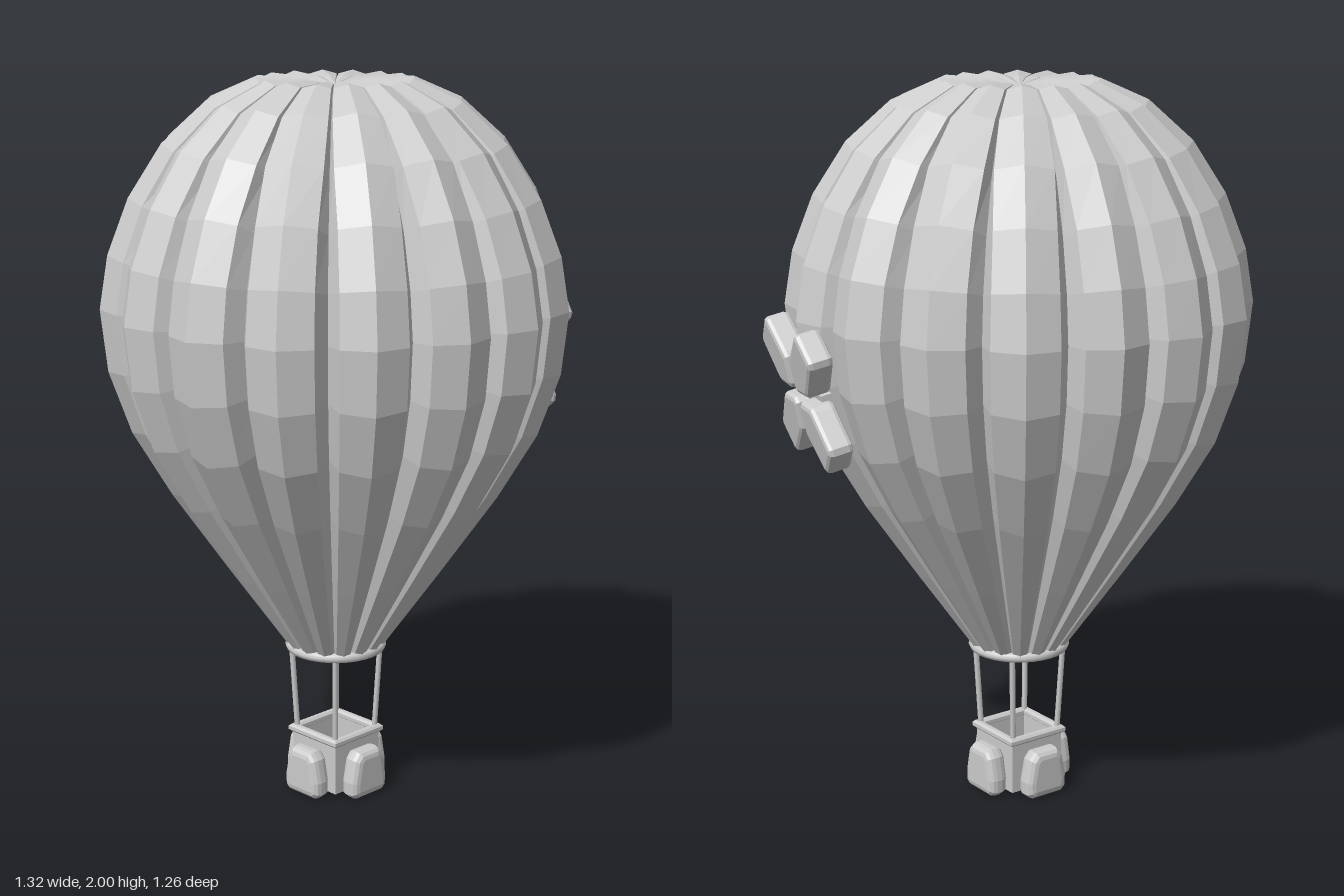
import * as THREE from 'three';

const AXIS = -0.026; // x of the balloon's own axis
const TURN = THREE.MathUtils.degToRad(31); // turn of the basket about y
const material = new THREE.MeshStandardMaterial({ color: 0xcccccc, flatShading: true, side: THREE.DoubleSide });
const smooth = new THREE.MeshStandardMaterial({ color: 0xcccccc });

function add(parent, name, geometry, mat = material) {
  const mesh = new THREE.Mesh(geometry, mat);
  mesh.name = name;
  parent.add(mesh);
  return mesh;
}

function polygon(points) {
  return new THREE.Shape(points.map(([x, y]) => new THREE.Vector2(x, y)));
}

// Flat pad with bevelled edges, centred on z = 0
function pad(points, thickness, bevel, bevelSegments) {
  const depth = thickness - 2 * bevel;
  return new THREE.ExtrudeGeometry(polygon(points), {
    depth, bevelThickness: bevel, bevelSize: bevel, bevelOffset: -bevel, bevelSegments,
  }).translate(0, 0, -depth / 2);
}

// Envelope skin: a profile swept around the axis; each lobe has a ridge, two shoulders and a deep seam
function envelopeGeometry() {
  const profile = [[0, 1.98], [0.1, 1.996], [0.21, 2], [0.34, 1.943], [0.46, 1.835], [0.55, 1.695], [0.608, 1.545],
    [0.632, 1.4], [0.614, 1.23], [0.555, 1.06], [0.45, 0.88], [0.295, 0.655], [0.129, 0.42]];
  const lobes = 16;
  const step = (Math.PI * 2) / lobes;
  const cols = lobes * 4;
  const positions = [];
  const index = [];
  profile.forEach(([r, y], i) => {
    const p = profile[Math.max(i - 1, 0)];
    const n = profile[Math.min(i + 1, profile.length - 1)];
    const normal = new THREE.Vector2(p[1] - n[1], n[0] - p[0]).normalize();
    // The seams close up towards the crown
    const shoulder = THREE.MathUtils.lerp(0.37, 0.465, THREE.MathUtils.smoothstep(y, 1.6, 2));
    const section = [[-0.5, 0.14], [-shoulder, 0.05], [0, 0], [shoulder, 0.05]]; // share of step, depth
    for (let j = 0; j < cols; j++) {
      const [share, depth] = section[j % 4];
      const angle = (Math.floor(j / 4) + share) * step - 0.07;
      const radius = r - normal.x * depth * r;
      positions.push(radius * Math.sin(angle), y - normal.y * depth * r, radius * Math.cos(angle));
      if (i < profile.length - 1) {
        const k = (j + 1) % cols;
        const a = i * cols + j, b = i * cols + k, c = a + cols, d = b + cols;
        if (i > 0) index.push(a, c, b);
        index.push(b, c, d);
      }
    }
  });
  const geometry = new THREE.BufferGeometry();
  geometry.setAttribute('position', new THREE.Float32BufferAttribute(positions, 3));
  geometry.setIndex(index);
  geometry.computeVertexNormals();
  return geometry;
}

function rod(from, to, radius) {
  return new THREE.TubeGeometry(new THREE.LineCurve3(from, to), 1, radius, 6);
}

// Square frame or wall, standing from y to y + height
function frame(outer, inner, y, height, bevel) {
  const square = (h) => [[-h, -h], [h, -h], [h, h], [-h, h]];
  const shape = polygon(square(outer - bevel));
  shape.holes.push(polygon(square(inner + bevel).reverse()));
  return new THREE.ExtrudeGeometry(shape, {
    depth: height - 2 * bevel, bevelEnabled: bevel > 0, bevelThickness: bevel, bevelSize: bevel, bevelSegments: 1,
  }).rotateX(-Math.PI / 2).translate(0, y + bevel, 0);
}

function createBasket() {
  const basket = new THREE.Group();
  basket.name = 'basket';
  add(basket, 'basketWalls', frame(0.086, 0.074, 0.02, 0.145, 0));
  const floor = add(basket, 'basketFloor', new THREE.BoxGeometry(0.17, 0.02, 0.17));
  floor.position.y = 0.025;
  add(basket, 'basketRim', frame(0.095, 0.072, 0.157, 0.022, 0.006));

  // Rounded cushion on each side
  const cushion = [[-0.05, 0], [0.05, 0], [0.066, 0.014], [0.067, 0.05], [0.054, 0.115],
    [0.036, 0.136], [-0.036, 0.136], [-0.054, 0.115], [-0.067, 0.05], [-0.066, 0.014]];
  const cushionGeometry = pad(cushion, 0.06, 0.022, 3).translate(0, 0.004, 0.114);
  for (let i = 0; i < 4; i++) {
    add(basket, 'sideCushion', cushionGeometry).rotation.y = (i * Math.PI) / 2;
  }

  // Ropes from the corners up to the ring
  for (const sx of [-1, 1]) {
    for (const sz of [-1, 1]) {
      add(basket, 'rope', rod(
        new THREE.Vector3(sx * 0.077, 0.165, sz * 0.077),
        new THREE.Vector3(sx * 0.088, 0.425, sz * 0.088), 0.008), smooth);
    }
  }
  basket.rotation.y = TURN;
  return basket;
}

// Four-petal ornament on the left side of the envelope
function createFlower() {
  const flower = new THREE.Group();
  flower.name = 'flower';
  const petal = [[0.028, -0.01], [0.082, -0.061], [0.098, -0.063], [0.21, -0.056], [0.224, -0.044],
    [0.224, 0.044], [0.21, 0.056], [0.098, 0.063], [0.082, 0.061], [0.028, 0.01]];
  const petalGeometry = pad(petal, 0.07, 0.013, 2);
  for (let i = 0; i < 4; i++) {
    add(flower, 'petal', petalGeometry).rotation.z = Math.PI / 4 + (i * Math.PI) / 2;
  }
  for (const [w, h] of [[0.2, 0.016], [0.016, 0.2]]) {
    add(flower, 'flowerCross', new THREE.BoxGeometry(w, h, 0.03)).position.z = -0.02;
  }
  flower.rotation.set(THREE.MathUtils.degToRad(12), THREE.MathUtils.degToRad(109), 0, 'YXZ');
  flower.position.set(0.549, 1.213, -0.195);
  return flower;
}

export function createModel() {
  const model = new THREE.Group();
  model.name = 'hotAirBalloon';

  const balloon = new THREE.Group();
  balloon.name = 'balloon';
  balloon.position.x = AXIS;
  add(balloon, 'envelope', envelopeGeometry());

  // Ring at the mouth of the envelope
  const ring = add(balloon, 'mouthRing', new THREE.TorusGeometry(0.128, 0.014, 8, 32), smooth);
  ring.rotation.x = Math.PI / 2;
  ring.position.y = 0.425;

  balloon.add(createBasket());
  model.add(balloon, createFlower());
  return model;
}
